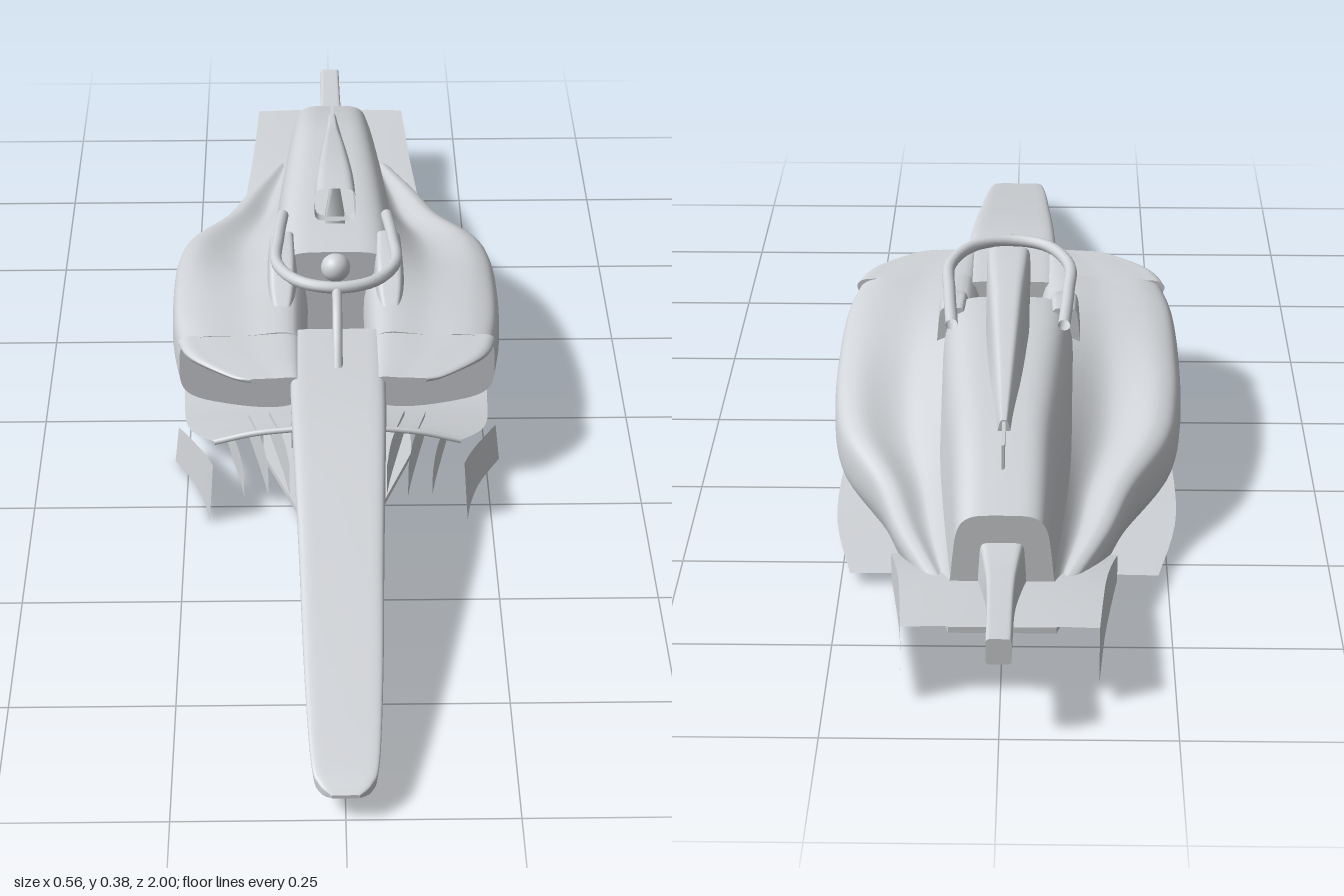
import * as THREE from 'three';

const bodyGrey = new THREE.MeshStandardMaterial({ color: 0xd0d3d7, side: THREE.DoubleSide });
bodyGrey.name = 'bodyGrey';

function add(parent, name, geometry, x = 0, y = 0, z = 0) {
  const mesh = new THREE.Mesh(geometry, bodyGrey);
  mesh.name = name;
  mesh.position.set(x, y, z);
  parent.add(mesh);
  return mesh;
}

// Catmull-Rom interpolation of every column of a table of sections
function smooth(rows, steps = 6) {
  const out = [];
  const last = rows.length - 1;
  for (let i = 0; i < last; i++) {
    for (let s = 0; s < steps; s++) {
      const t = s / steps;
      out.push(rows[i].map((b, k) => {
        const c = rows[i + 1][k];
        const m0 = (c - rows[Math.max(i - 1, 0)][k]) / 2;
        const m1 = (rows[Math.min(i + 2, last)][k] - b) / 2;
        return b + m0 * t + (3 * (c - b) - 2 * m0 - m1) * t * t + (2 * (b - c) + m0 + m1) * t * t * t;
      }));
    }
  }
  out.push(rows[last]);
  return out;
}

// Skin a list of cross-sections; closed rings are capped at the back and, if wanted, the front
function skin(rings, { closed = true, front = true } = {}) {
  const n = rings[0].length;
  const pos = rings.flat().flatMap((p) => [p.x, p.y, p.z]);
  const index = [];
  for (let i = 0; i < rings.length - 1; i++) {
    for (let j = 0; j < (closed ? n : n - 1); j++) {
      const a = i * n + j, b = i * n + (j + 1) % n;
      index.push(a, a + n, b, b, a + n, b + n);
    }
  }
  const cap = (ring, flip) => {
    const base = pos.length / 3;
    const mid = ring.reduce((m, p) => m.add(p), new THREE.Vector3()).divideScalar(n);
    [mid, ...ring].forEach((p) => pos.push(p.x, p.y, p.z));
    for (let j = 0; j < n; j++) {
      const a = base + 1 + j, b = base + 1 + (j + 1) % n;
      if (flip) index.push(base, b, a);
      else index.push(base, a, b);
    }
  };
  if (closed && front) cap(rings[0], false);
  if (closed) cap(rings[rings.length - 1], true);
  const g = new THREE.BufferGeometry();
  g.setAttribute('position', new THREE.Float32BufferAttribute(pos, 3));
  g.setIndex(index);
  g.computeVertexNormals();
  return g;
}

// Rounded trapezoid sections: [z, half width low, half width high, y low, y high]
function hull(rows, power, options) {
  const bend = (v) => Math.sign(v) * Math.abs(v) ** (2 / power);
  return skin(smooth(rows).map(([z, wl, wh, y0, y1]) => {
    const ring = [];
    for (let j = 0; j < 48; j++) {
      const a = (j / 48) * Math.PI * 2;
      const v = bend(Math.sin(a));
      const w = wl + (wh - wl) * (v + 1) / 2;
      ring.push(new THREE.Vector3(w * bend(Math.cos(a)), (y0 + y1) / 2 + v * (y1 - y0) / 2, z));
    }
    return ring;
  }), options);
}

// Sidepod sections: [z, inner top y, gully y, ridge y, outer x, lower outer y, bottom x, bottom y]
function sidepod(rows) {
  return skin(smooth(rows).map(([z, yi, yg, yr, xo, yo, xb, yb]) => {
    const pts = [[0.066, yb], [xb, yb], [xo * 0.97, yo], [xo, yo * 0.45 + yr * 0.55], [xo * 0.97, yo * 0.12 + yr * 0.88],
      [xo * 0.87, yr], [0.066 + (xo - 0.066) * 0.45, yg], [0.066, yi]];
    const curve = new THREE.CatmullRomCurve3(pts.map(([x, y]) => new THREE.Vector3(x, y, z)), true, 'centripetal');
    return curve.getPoints(64).slice(0, 64);
  }));
}

// Upright plate following a plan line: [x, z, y low, y high], its foot moved outward by flare
function fence(rows, flare = 0) {
  return skin(smooth(rows).map(([x, z, y0, y1]) => [new THREE.Vector3(x + flare, y0, z), new THREE.Vector3(x, y1, z)]),
    { closed: false });
}

function tube(points, radius) {
  const curve = new THREE.CatmullRomCurve3(points.map((p) => new THREE.Vector3(...p)));
  return new THREE.TubeGeometry(curve, 48, radius, 12, false);
}

function side() {
  const g = new THREE.Group();
  add(g, 'sidepod', sidepod([
    [0.09, 0.23, 0.231, 0.229, 0.262, 0.125, 0.2, 0.1],
    [0, 0.232, 0.231, 0.227, 0.275, 0.12, 0.205, 0.095],
    [-0.12, 0.235, 0.218, 0.216, 0.28, 0.1, 0.21, 0.075],
    [-0.25, 0.225, 0.182, 0.19, 0.278, 0.085, 0.215, 0.05],
    [-0.36, 0.205, 0.15, 0.163, 0.26, 0.072, 0.205, 0.03],
    [-0.48, 0.18, 0.122, 0.135, 0.2, 0.07, 0.165, 0.025],
    [-0.6, 0.155, 0.107, 0.115, 0.16, 0.07, 0.135, 0.03],
    [-0.745, 0.13, 0.1, 0.1, 0.1, 0.07, 0.085, 0.05],
  ]));
  // Thin lip overhanging the sidepod front
  add(g, 'sidepodLip', sidepod([
    [0.215, 0.23, 0.23, 0.229, 0.145, 0.222, 0.135, 0.221],
    [0.205, 0.23, 0.23, 0.229, 0.172, 0.221, 0.16, 0.219],
    [0.16, 0.23, 0.231, 0.229, 0.225, 0.216, 0.21, 0.213],
    [0.125, 0.23, 0.231, 0.229, 0.25, 0.208, 0.23, 0.205],
    [0.085, 0.23, 0.231, 0.229, 0.263, 0.2, 0.24, 0.195],
  ]));
  add(g, 'cockpitWall', new THREE.BoxGeometry(0.014, 0.2, 0.26), 0.07, 0.125, -0.01);
  // Raised padding beside the cockpit
  add(g, 'cockpitShoulder', hull([
    [0.02, 0.016, 0.012, 0.21, 0.236], [-0.03, 0.025, 0.02, 0.2, 0.255],
    [-0.09, 0.028, 0.022, 0.2, 0.277], [-0.16, 0.028, 0.02, 0.2, 0.283],
  ], 6).translate(0.091, 0, 0));
  // Floor half with raised leading edge, then the diffuser roof: [z, outer x, inner y, outer y]
  const floor = [
    [0.15, 0.205, 0.092, 0.06], [0.08, 0.25, 0.065, 0.04], [-0.05, 0.262, 0.035, 0.022], [-0.36, 0.27, 0.02, 0.018],
    [-0.57, 0.235, 0.02, 0.02],
  ];
  const rear = [[-0.57, 0.172, 0.06, 0.055], [-0.66, 0.16, 0.09, 0.085], [-0.75, 0.15, 0.107, 0.104], [-0.9, 0.14, 0.12, 0.12]];
  for (const [name, rows] of [['floor', floor], ['diffuser', rear]]) {
    add(g, name, skin(smooth(rows).map(([z, x, yi, yo]) => [
      new THREE.Vector3(x, yo, z), new THREE.Vector3(x / 2, (yi + yo) / 2 + 0.002, z), new THREE.Vector3(0, yi, z),
    ]), { closed: false }));
  }
  add(g, 'floorLeadingEdge', tube([[0.07, 0.092, 0.16], [0.14, 0.08, 0.155], [0.205, 0.06, 0.15]], 0.005));
  add(g, 'diffuserSide', fence([[0.172, -0.57, 0.012, 0.055], [0.16, -0.66, 0.012, 0.085], [0.15, -0.75, 0.014, 0.104], [0.14, -0.9, 0.028, 0.12]]));
  // Turning vanes ahead of the floor
  add(g, 'outerVane', fence([[0.203, 0.29, 0, 0.112], [0.212, 0.24, 0, 0.09], [0.23, 0.185, 0, 0.075], [0.265, 0.12, 0, 0.07]], 0.008));
  [[0.09, 0.085], [0.125, 0.08], [0.165, 0.068]].forEach(([x, top]) => add(g, 'innerVane',
    fence([[x - 0.01, 0.24, 0.012, top - 0.01], [x, 0.18, 0.01, top], [x + 0.025, 0.06, 0.01, top - 0.025]])));
  return g;
}

export function createModel() {
  const model = new THREE.Group();
  model.name = 'racingCarBody';

  const left = side();
  left.name = 'leftSide';
  const right = side();
  right.name = 'rightSide';
  right.scale.x = -1;
  model.add(left, right);

  add(model, 'nose', hull([
    [1, 0.02, 0.02, 0.041, 0.047], [0.985, 0.037, 0.038, 0.037, 0.056], [0.95, 0.046, 0.05, 0.042, 0.07],
    [0.8, 0.049, 0.06, 0.062, 0.112], [0.6, 0.053, 0.067, 0.084, 0.165], [0.4, 0.057, 0.075, 0.102, 0.212],
    [0.26, 0.06, 0.08, 0.1, 0.23], [0.07, 0.064, 0.082, 0.08, 0.231],
  ], 8));
  add(model, 'chin', hull([
    [0.34, 0.05, 0.05, 0.014, 0.02], [0.26, 0.066, 0.055, 0.01, 0.042], [0.16, 0.07, 0.058, 0.01, 0.095], [0.06, 0.075, 0.065, 0.01, 0.12],
  ], 5));
  const plan = [[0.06, 0.3], [0.125, 0.12], [0.125, -0.55], [0.08, -0.72], [-0.08, -0.72], [-0.125, -0.55], [-0.125, 0.12], [-0.06, 0.3]];
  add(model, 'plank', new THREE.ExtrudeGeometry(new THREE.Shape(plan.map(([x, z]) => new THREE.Vector2(x, -z))),
    { depth: 0.01, bevelEnabled: false }).rotateX(-Math.PI / 2), 0, 0.005, 0);
  add(model, 'headrest', new THREE.SphereGeometry(0.025, 24, 16), 0, 0.25, -0.095);

  add(model, 'engineCover', hull([
    [-0.1, 0.115, 0.1, 0.08, 0.277], [-0.2, 0.122, 0.098, 0.07, 0.285], [-0.4, 0.12, 0.086, 0.05, 0.285],
    [-0.55, 0.105, 0.075, 0.05, 0.274], [-0.65, 0.092, 0.07, 0.06, 0.248], [-0.745, 0.08, 0.065, 0.07, 0.214],
  ], 4.5));
  // Airbox, open at the front, fading into the spine
  add(model, 'airbox', hull([
    [-0.135, 0.036, 0.034, 0.318, 0.381], [-0.2, 0.036, 0.032, 0.29, 0.379], [-0.28, 0.036, 0.027, 0.25, 0.366],
    [-0.4, 0.032, 0.018, 0.25, 0.333], [-0.5, 0.026, 0.01, 0.25, 0.301], [-0.58, 0.015, 0.006, 0.24, 0.286],
  ], 5, { front: false }));
  add(model, 'airboxDivider', new THREE.CylinderGeometry(0.006, 0.026, 0.1, 4).rotateY(Math.PI / 4), 0, 0.325, -0.2);
  add(model, 'spineFin', new THREE.BoxGeometry(0.005, 0.05, 0.16), 0, 0.259, -0.58);

  add(model, 'haloRing', tube([
    [-0.09, 0.28, -0.22], [-0.097, 0.294, -0.12], [-0.098, 0.302, -0.02], [-0.06, 0.308, 0.046], [0, 0.309, 0.066],
    [0.06, 0.308, 0.046], [0.098, 0.302, -0.02], [0.097, 0.294, -0.12], [0.09, 0.28, -0.22],
  ], 0.01));
  add(model, 'haloPillar', tube([[0, 0.225, 0.185], [0, 0.265, 0.15], [0, 0.295, 0.11], [0, 0.308, 0.06]], 0.008));

  add(model, 'tail', hull([
    [-0.7, 0.045, 0.04, 0.08, 0.18], [-0.78, 0.03, 0.026, 0.1, 0.163], [-0.86, 0.02, 0.02, 0.112, 0.16], [-1, 0.018, 0.018, 0.12, 0.16],
  ], 8));
  return model;
}
